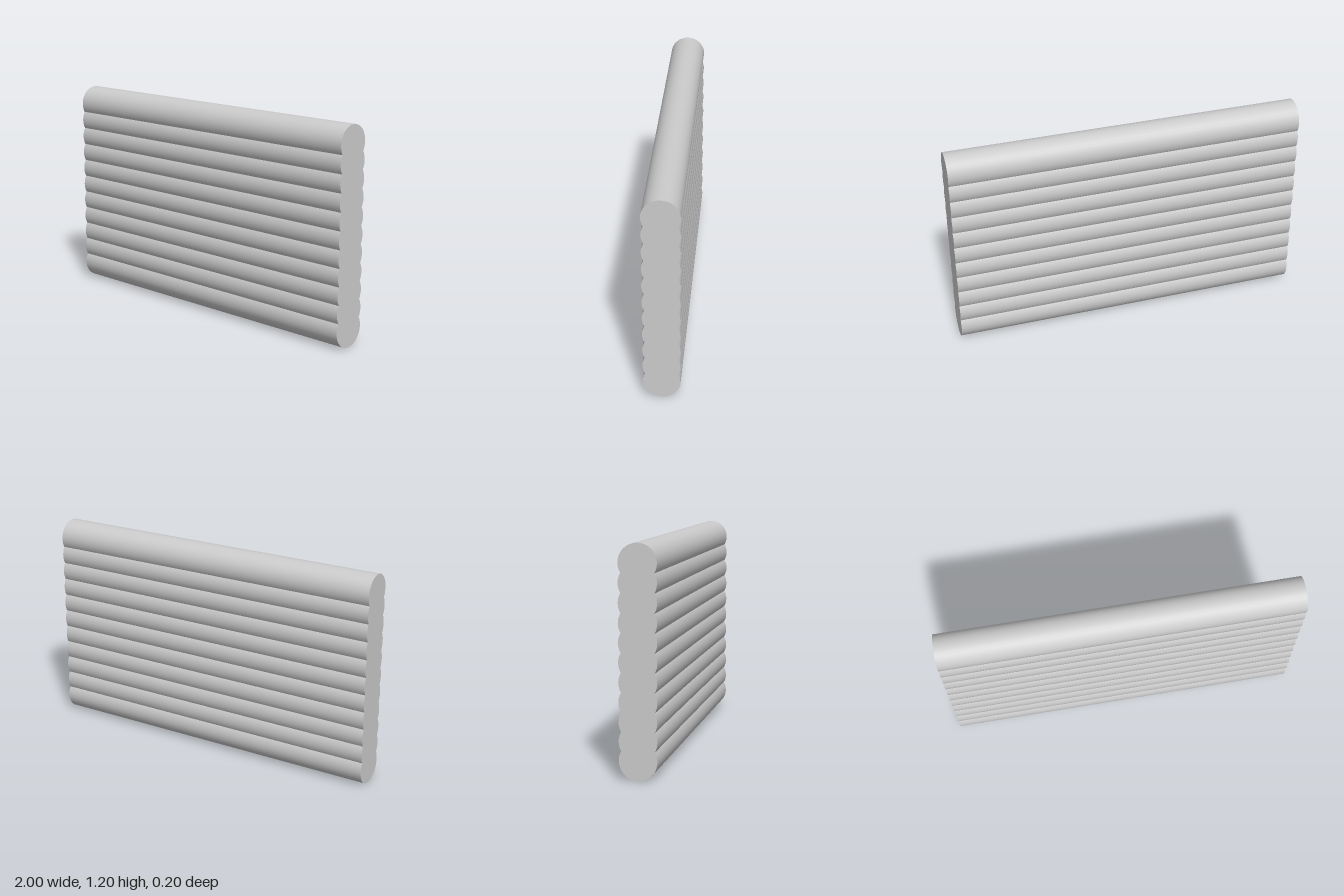
import * as THREE from 'three';

const LOG_COUNT = 11;
const RADIUS = 0.1;
const SPACING = 0.1;
const LENGTH = 2;

export function createModel() {
  const wall = new THREE.Group();
  wall.name = 'logWall';
  const material = new THREE.MeshStandardMaterial({ color: 0xcccccc });

  // One round log lying along x, shared by every course
  const logGeometry = new THREE.CylinderGeometry(RADIUS, RADIUS, LENGTH, 32);
  logGeometry.rotateZ(Math.PI / 2);

  // Stack the logs, each sunk halfway into the one below
  for (let i = 0; i < LOG_COUNT; i++) {
    const log = new THREE.Mesh(logGeometry, material);
    log.name = `log${i + 1}`;
    log.position.y = RADIUS + i * SPACING;
    wall.add(log);
  }
  return wall;
}
